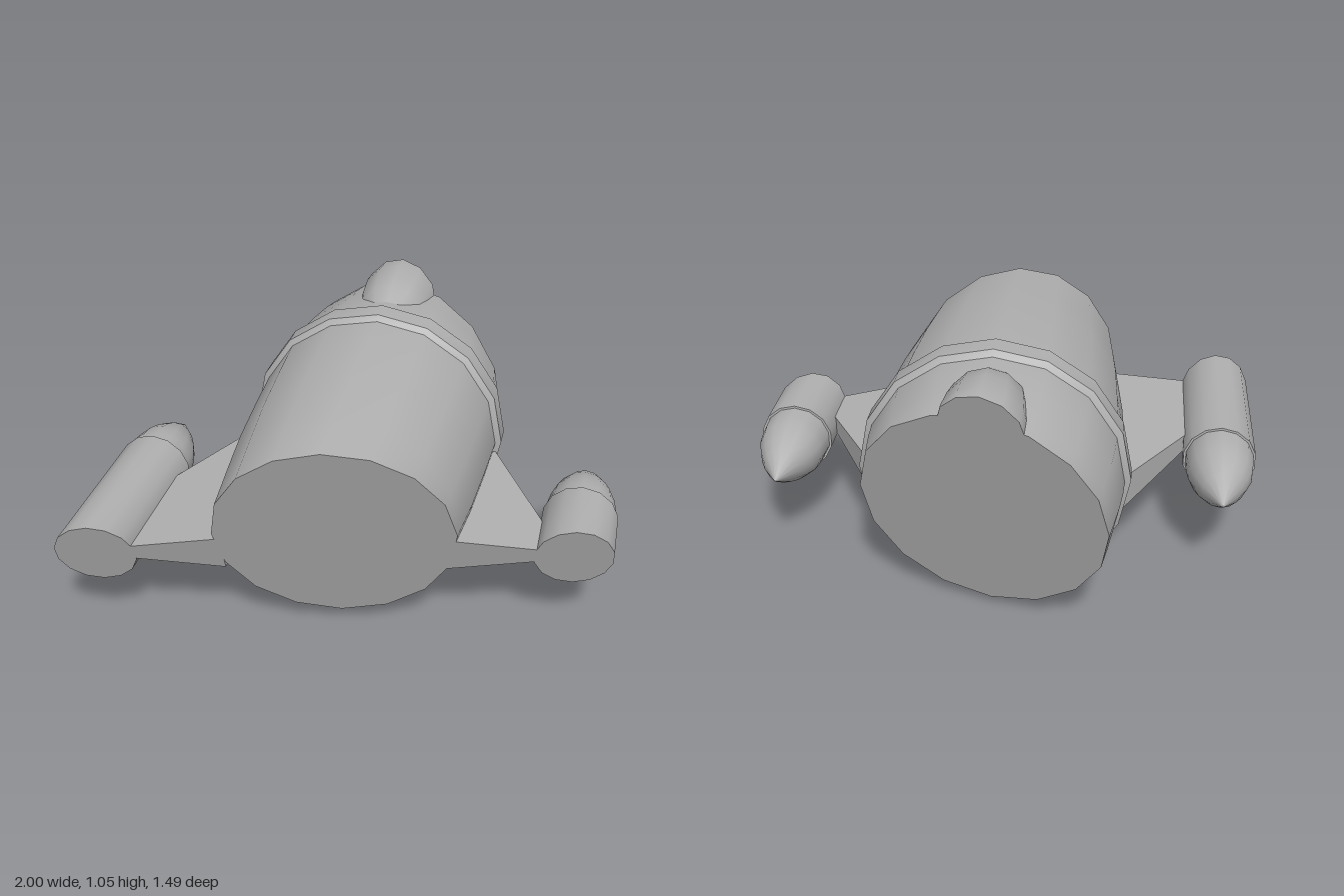
import * as THREE from 'three';
import { toCreasedNormals } from 'three/addons/utils/BufferGeometryUtils.js';

const hullGrey = new THREE.MeshStandardMaterial({ color: 0xb0b0b0 });
hullGrey.name = 'hullGrey';

// Slanted planes that slice the front and back ends: z as a function of x and y
const frontCut = (x, y) => 0.52 - 0.21 * x + 0.32 * (y - 0.39);
const backCut = (x, y) => -0.5625 + 0.26 * x - 0.29 * (y - 0.5);

// Radius at z along a profile of [z, r] points, z ascending
function radiusAt(profile, z) {
  for (let i = 1; i < profile.length; i++) {
    const [z0, r0] = profile[i - 1], [z1, r1] = profile[i];
    if (z <= z1 || i === profile.length - 1) return r0 + (r1 - r0) * (z - z0) / (z1 - z0);
  }
}

// Body of revolution around a z-parallel axis, with ends optionally sliced by planes
function turned(profile, sides, cx, cy, back, front) {
  const pos = [], index = [], rows = profile.length;
  const point = (z, a) => {
    const r = radiusAt(profile, z);
    return [cx + r * Math.sin(a), cy + r * Math.cos(a), z];
  };
  const meet = (plane, start, a) => {
    let z = start;
    for (let k = 0; k < 12; k++) {
      const p = point(z, a);
      z = plane(p[0], p[1]);
    }
    return z;
  };
  const zBack = profile[0][0], zFront = profile[rows - 1][0];
  for (let i = 0; i < rows; i++) {
    for (let j = 0; j < sides; j++) {
      const a = j / sides * Math.PI * 2;
      const lo = back ? meet(back, zBack, a) : zBack;
      const hi = front ? meet(front, zFront, a) : zFront;
      let z = THREE.MathUtils.clamp(profile[i][0], lo, hi);
      if (i === 0) z = lo;
      if (i === rows - 1) z = hi;
      pos.push(...point(z, a));
    }
  }
  for (let i = 0; i < rows - 1; i++) {
    for (let j = 0; j < sides; j++) {
      const k = (j + 1) % sides;
      const a = i * sides + j, b = i * sides + k, c = a + sides, d = b + sides;
      index.push(a, c, b, b, c, d);
    }
  }
  // Flat end caps
  for (const row of [0, rows - 1]) {
    const centre = [0, 0, 0], first = row * sides;
    for (let n = 0; n < sides * 3; n++) centre[n % 3] += pos[first * 3 + n] / sides;
    const c = pos.length / 3;
    pos.push(...centre);
    for (let j = 0; j < sides; j++) {
      const a = first + j, b = first + (j + 1) % sides;
      if (row === 0) index.push(c, a, b);
      else index.push(c, b, a);
    }
  }
  const geo = new THREE.BufferGeometry();
  geo.setAttribute('position', new THREE.Float32BufferAttribute(pos, 3));
  geo.setIndex(index);
  return toCreasedNormals(geo, 0.6);
}

// Tapered pylon from hull to pod, swept at the rear, sliced at the front
function pylon(side) {
  const geo = new THREE.BoxGeometry(1, 1, 1);
  const p = geo.attributes.position;
  for (let i = 0; i < p.count; i++) {
    const outer = p.getX(i) * side > 0;
    const x = outer ? 0.76 : 0.4;
    const y = 0.4 + Math.sign(p.getY(i)) * (outer ? 0.029 : 0.081);
    const z = p.getZ(i) > 0 ? frontCut(side * x, y) : -0.21 + (x - 0.49) * 1.74;
    p.setXYZ(i, side * x, y, z);
  }
  geo.computeVertexNormals();
  return geo;
}

export function createModel() {
  const model = new THREE.Group();
  const add = (name, geo) => {
    const mesh = new THREE.Mesh(geo, hullGrey);
    mesh.name = name;
    model.add(mesh);
  };

  // Main hull
  add('hull', turned([
    [-0.76, 0.425], [-0.65, 0.448], [-0.5, 0.472], [-0.4, 0.483], [-0.3, 0.488],
    [-0.2, 0.488], [0.0, 0.479], [0.25, 0.464], [0.45, 0.444], [0.72, 0.415],
  ], 16, 0, 0.51, backCut, frontCut));

  // Raised band around the hull
  add('hullBand', turned([
    [-0.325, 0.484], [-0.306, 0.51], [-0.218, 0.51], [-0.2, 0.487],
  ], 16, 0, 0.51));

  // Dorsal blister
  add('dorsalBlister', turned([
    [-0.8, 0.145], [-0.72, 0.155], [-0.65, 0.16], [-0.55, 0.152],
    [-0.47, 0.138], [-0.38, 0.095], [-0.36, 0.06],
  ], 12, 0, 0.89, backCut));

  // Side pods with pointed tails, joined by pylons
  for (const side of [1, -1]) {
    const label = side > 0 ? 'left' : 'right';
    const x = side * 0.858;
    add(label + 'Pylon', pylon(side));
    add(label + 'Pod', turned([[0.085, 0.145], [0.8, 0.145]], 14, x, 0.39, null, frontCut));
    add(label + 'PodTail', turned([
      [-0.265, 0], [-0.15, 0.075], [-0.09, 0.104], [-0.03, 0.125], [0.03, 0.133], [0.09, 0.136],
    ], 14, x, 0.39));
  }
  return model;
}
